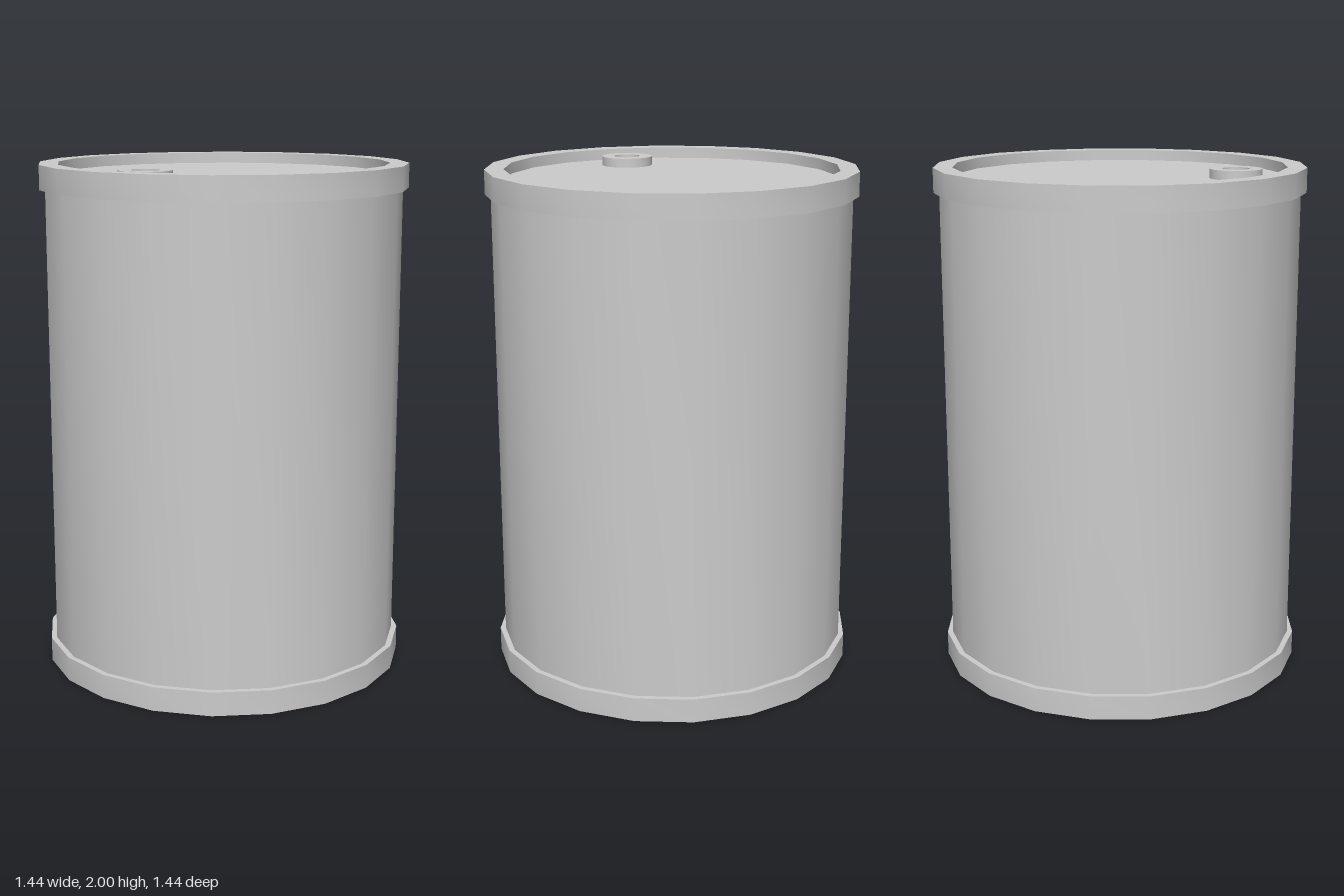
import * as THREE from 'three';
import { toCreasedNormals } from 'three/addons/utils/BufferGeometryUtils.js';

const SIDES = 20;
const material = new THREE.MeshStandardMaterial({ color: 0xcccccc });

// Lathe a profile (outside runs upward), smooth around and sharp at the edges
function turned(name, profile, sides = SIDES) {
  const points = profile.map(([r, y]) => new THREE.Vector2(r, y));
  const geometry = toCreasedNormals(new THREE.LatheGeometry(points, sides), Math.PI / 6);
  const mesh = new THREE.Mesh(geometry, material);
  mesh.name = name;
  return mesh;
}

// Closed ring with a rectangular section
const ring = (inner, outer, y0, y1) =>
  [[inner, y0], [outer, y0], [outer, y1], [inner, y1], [inner, y0]];

export function createModel() {
  const drum = new THREE.Group();
  drum.name = 'drum';

  // Sheet wall with recessed end plates
  drum.add(turned('body', [[0.70, 0.05], [0.70, 1.95]]));
  drum.add(turned('lid', [[0.66, 1.957], [0, 1.957]]));
  drum.add(turned('base', [[0, 0.043], [0.66, 0.043]]));

  // Raised rims at both ends
  drum.add(turned('topRim', ring(0.648, 0.722, 1.905, 2)));
  drum.add(turned('bottomRim', ring(0.648, 0.722, 0, 0.095)));

  // Filler bung near the front edge of the lid
  const bung = turned('bung', ring(0.052, 0.102, 1.95, 1.993), 32);
  bung.position.z = 0.45;
  drum.add(bung);

  return drum;
}
